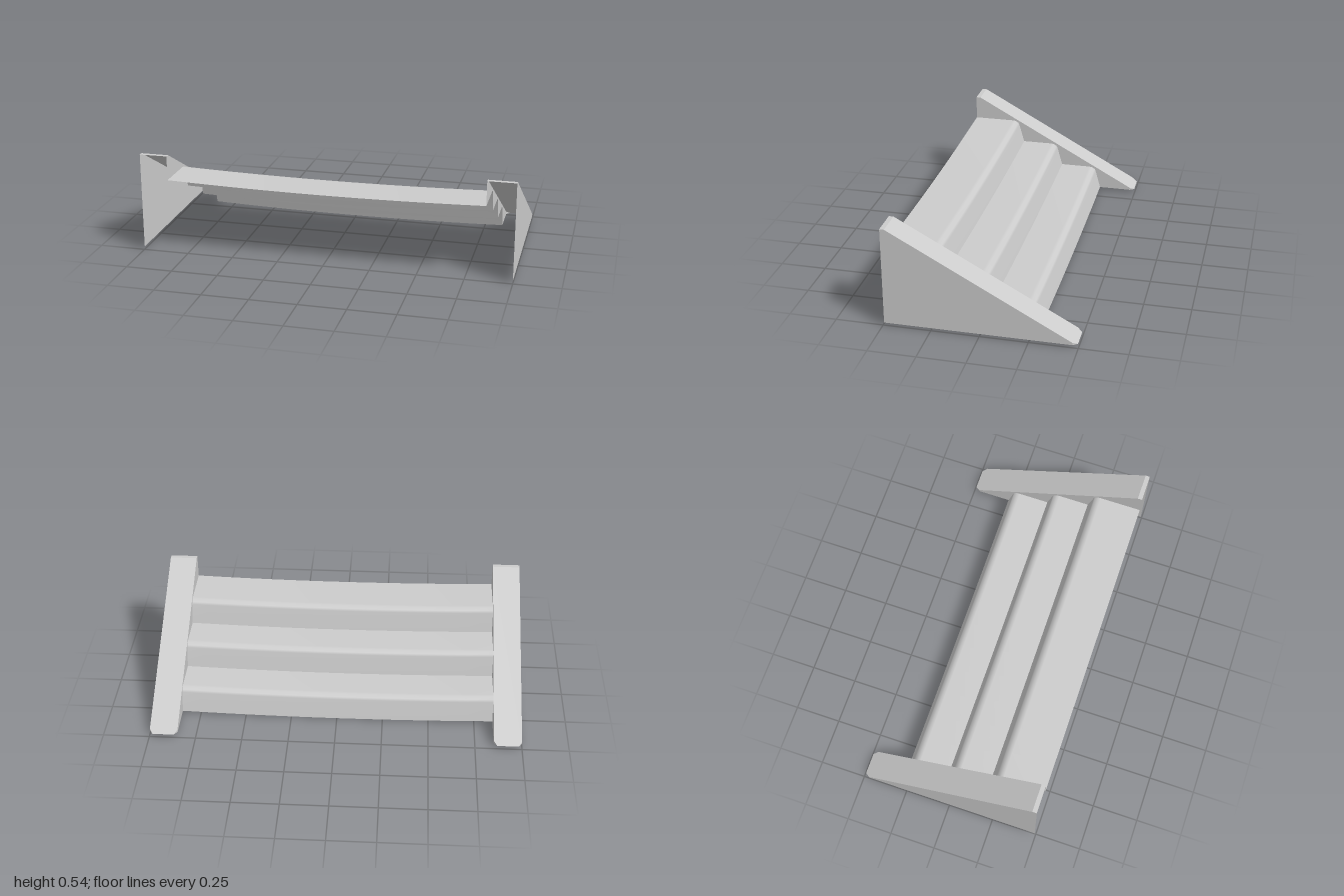
import * as THREE from 'three';

const FRONT = 0.494, BACK = -0.495, BASE = 0.015, TOP = 0.54;
const INNER = 0.85, OUTER = 1.0;
const STEP_DEPTH = 0.24, STEP_RISE = 0.131, FIRST = -0.285;
const slopeY = (z) => Math.min(TOP, BASE + (z - BACK) * (TOP - BASE) / (0.47 - BACK));

// One step as [z, y] points: riser foot, nose, rounded edge, tread
function stepProfile(i) {
  const z = FIRST + i * STEP_DEPTH, y = BASE + i * STEP_RISE, top = y + STEP_RISE;
  return [
    [z, y], [z + 0.03, top - 0.025], [z + 0.037, top - 0.012], [z + 0.055, top - 0.002], [z + 0.07, top],
    [i === 2 ? FRONT : z + STEP_DEPTH, top],
  ];
}

// Flat sheet through 3D points, triangulated on two of its axes
function sheet(points, a, b) {
  const flat = points.map((p) => new THREE.Vector2(p[a], p[b]));
  const geo = new THREE.BufferGeometry();
  geo.setAttribute('position', new THREE.Float32BufferAttribute(points.flat(), 3));
  geo.setIndex(THREE.ShapeUtils.triangulateShape(flat, []).flat());
  geo.computeVertexNormals();
  return geo;
}

// Step surface swept across the width with a shallow sag in the middle
function stepGeometry(profile) {
  const cols = 12, pos = [], index = [];
  for (const [z, y] of profile) {
    for (let j = 0; j <= cols; j++) {
      const t = (j / cols) * 2 - 1;
      pos.push(t * INNER, y - BASE * (1 - t * t), z);
    }
  }
  for (let i = 0; i < profile.length - 1; i++) {
    for (let j = 0; j < cols; j++) {
      const a = i * (cols + 1) + j, c = a + cols + 1;
      index.push(a, c, a + 1, a + 1, c, c + 1);
    }
  }
  const geo = new THREE.BufferGeometry();
  geo.setAttribute('position', new THREE.Float32BufferAttribute(pos, 3));
  geo.setIndex(index);
  geo.computeVertexNormals();
  return geo;
}

export function createModel() {
  const model = new THREE.Group();
  const grey = new THREE.MeshStandardMaterial({ color: 0xcccccc, side: THREE.DoubleSide });
  grey.name = 'light grey';
  const add = (parent, name, geo) => {
    const mesh = new THREE.Mesh(geo, grey);
    mesh.name = name;
    parent.add(mesh);
  };

  // Three worn steps rising towards the front
  const profiles = [0, 1, 2].map(stepProfile);
  const steps = new THREE.Group();
  steps.name = 'steps';
  profiles.forEach((p, i) => add(steps, `step${i + 1}`, stepGeometry(p)));
  model.add(steps);

  // Hollow sloping side walls, open at the front and below
  const zc = BACK + 0.025, yc = slopeY(zc), cut = 0.018;
  for (const s of [1, -1]) {
    const wall = new THREE.Group();
    wall.name = s > 0 ? 'leftWall' : 'rightWall';
    const xi = s * INNER, xo = s * OUTER;
    const ti = s * (INNER + cut), to = s * (OUTER - cut);

    add(wall, 'coping', sheet([
      [xi, TOP, 0.47], [xo, TOP, 0.47], [xo, yc, zc], [to, BASE, BACK], [ti, BASE, BACK], [xi, yc, zc],
    ], 0, 2));
    add(wall, 'copingTop', sheet([
      [xi, TOP, FRONT], [xo, TOP, FRONT], [xo, TOP, 0.47], [xi, TOP, 0.47],
    ], 0, 2));
    add(wall, 'outerFace', sheet([
      [xo, BASE, FRONT], [xo, TOP, FRONT], [xo, TOP, 0.47], [xo, yc, zc], [xo, BASE, zc],
    ], 2, 1));

    // Inner face follows the steps along its lower edge
    const lower = profiles.flatMap((p, i) => (i < 2 ? p.slice(0, -1).concat([[p[5][0], p[5][1]]]) : p))
      .filter((p, i, all) => i === 0 || Math.hypot(p[0] - all[i - 1][0], p[1] - all[i - 1][1]) > 1e-5);
    add(wall, 'innerFace', sheet([
      [xi, BASE, zc], ...lower.map(([z, y]) => [xi, y, z]),
      [xi, TOP, FRONT], [xi, TOP, 0.47], [xi, yc, zc],
    ], 2, 1));

    // Small chamfers at the low tip
    add(wall, 'innerChamfer', sheet([[xi, yc, zc], [xi, BASE, zc], [ti, BASE, BACK]], 2, 1));
    add(wall, 'outerChamfer', sheet([[xo, yc, zc], [xo, BASE, zc], [to, BASE, BACK]], 2, 1));
    model.add(wall);
  }
  return model;
}
